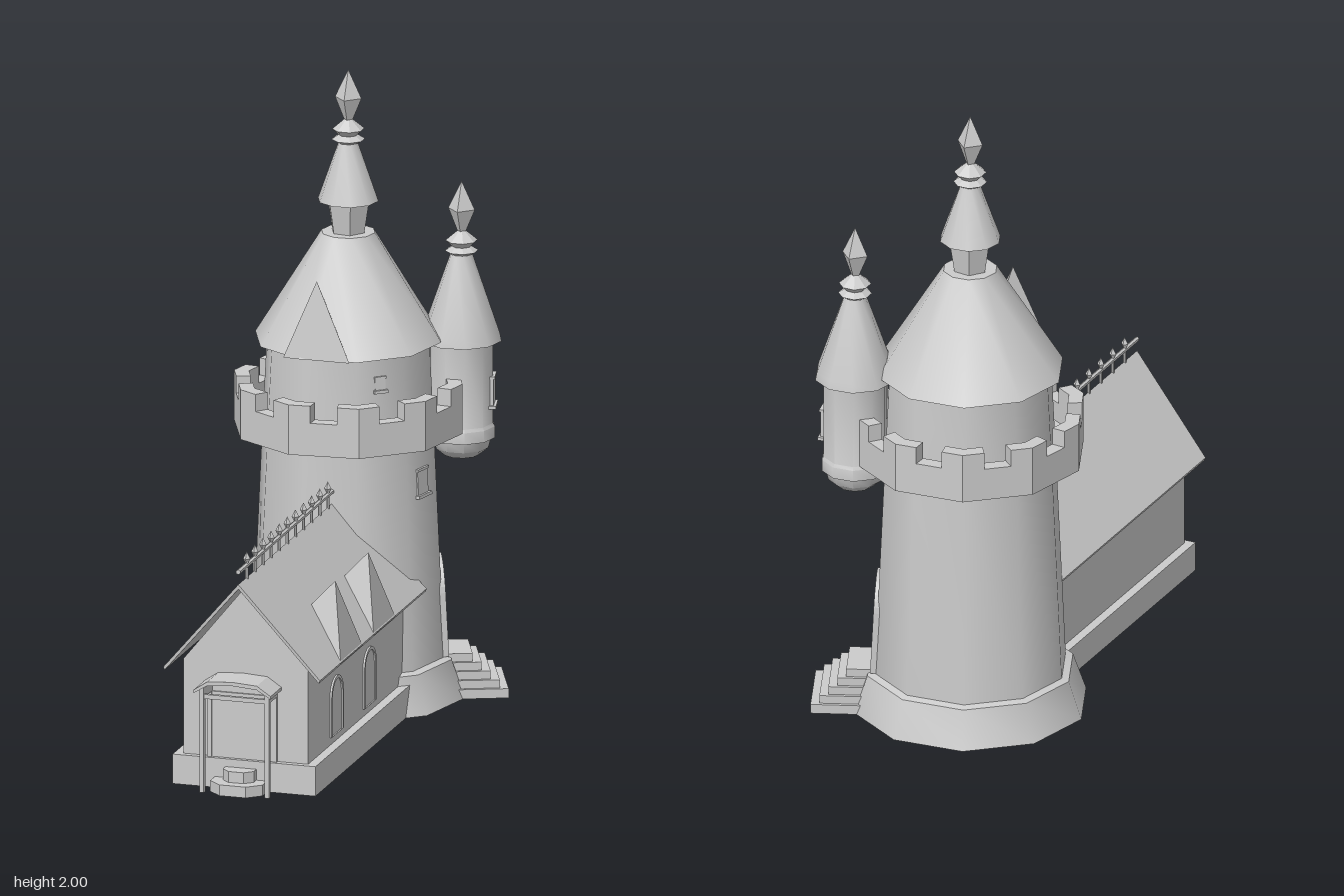
import * as THREE from 'three';
import { toCreasedNormals } from 'three/addons/utils/BufferGeometryUtils.js';

const smooth = new THREE.MeshStandardMaterial({ color: 0xcccccc, side: THREE.DoubleSide });
const flat = new THREE.MeshStandardMaterial({ color: 0xcccccc, side: THREE.DoubleSide, flatShading: true });
const SIDES = 10, START = THREE.MathUtils.degToRad(23);
const TOWER = [-0.063, -0.44], TURRET = [0.251, -0.608], RIDGE_X = -0.032;

function add(parent, name, geometry, x = 0, y = 0, z = 0, material = flat) {
  const mesh = new THREE.Mesh(geometry, material);
  mesh.name = name;
  mesh.position.set(x, y, z);
  parent.add(mesh);
  return mesh;
}

// Box given by its limits on each axis
function block(parent, name, x0, x1, y0, y1, z0, z1) {
  return add(parent, name, new THREE.BoxGeometry(x1 - x0, y1 - y0, z1 - z0),
    (x0 + x1) / 2, (y0 + y1) / 2, (z0 + z1) / 2);
}

// Turned part from [radius, y] pairs, with crisp edges between bands
function turned(parent, name, profile, sides = SIDES, crease = 0.66) {
  const points = profile.map(([r, y]) => new THREE.Vector2(r, y));
  const geometry = toCreasedNormals(new THREE.LatheGeometry(points, sides, START), crease);
  return add(parent, name, geometry, 0, 0, 0, smooth);
}

// Group on a round wall: local +z points outward at the given angle (from +x towards +z)
function onWall(parent, name, degrees, radius, y, lean = 0) {
  const pivot = new THREE.Group();
  pivot.rotation.y = Math.PI / 2 - THREE.MathUtils.degToRad(degrees);
  const spot = new THREE.Group();
  spot.name = name;
  spot.position.set(0, y, radius);
  spot.rotation.x = -lean;
  pivot.add(spot);
  parent.add(pivot);
  return spot;
}

function extrude(shape, depth) {
  return new THREE.ExtrudeGeometry(shape, { depth, bevelEnabled: false, curveSegments: 8 });
}

const polygon = (points) => new THREE.Shape(points.map(([x, y]) => new THREE.Vector2(x, y)));

function archShape(width, height, Type = THREE.Shape) {
  const r = width / 2, shape = new Type();
  shape.moveTo(-r, 0);
  shape.lineTo(r, 0);
  shape.lineTo(r, height - r);
  shape.absarc(0, height - r, r, 0, Math.PI, false);
  shape.lineTo(-r, 0);
  return shape;
}

// Arched frame around a recessed panel
function archOpening(parent, name, width, height, border, depth) {
  const frame = archShape(width, height);
  frame.holes.push(archShape(width - 2 * border, height - border, THREE.Path));
  add(parent, name + 'Frame', extrude(frame, depth), 0, 0, -depth / 2);
  add(parent, name + 'Panel', extrude(archShape(width - border, height - border / 2), depth * 0.6), 0, 0, -depth / 2);
}

function squareWindow(parent, width, height) {
  block(parent, 'windowPane', -width / 2, width / 2, 0, height, -0.03, 0.004);
  block(parent, 'windowSill', -width * 0.65, width * 0.65, -0.01, 0, -0.03, 0.012);
  block(parent, 'windowLintel', -width * 0.55, width * 0.55, height, height + 0.008, -0.03, 0.008);
}

// Four-cornered spike dormer: upright triangle whose ridge runs back into the roof
function dormer(parent, name, left, right, apex, back) {
  const faces = [left, right, apex, right, back, apex, back, left, apex, left, back, right];
  const geometry = new THREE.BufferGeometry();
  geometry.setAttribute('position', new THREE.Float32BufferAttribute(faces.flat(), 3));
  geometry.computeVertexNormals();
  add(parent, name, geometry);
}

// Stacked rings with a four-sided diamond above
function finial(parent, y) {
  turned(parent, 'finialRings', [[0.03, y - 0.04], [0.03, y], [0.052, y + 0.012], [0.03, y + 0.026],
    [0.05, y + 0.045], [0.042, y + 0.052], [0.014, y + 0.075], [0, y + 0.078]], 8, 0.3);
  const diamond = new THREE.LatheGeometry(
    [[0.012, 0], [0.043, 0.075], [0, 0.165]].map(([r, h]) => new THREE.Vector2(r, h)), 4);
  add(parent, 'finialDiamond', diamond, 0, y + 0.07, 0);
}

function corner(k, r) {
  const a = THREE.MathUtils.degToRad(31 + 36 * k);
  return [r * Math.cos(a), -r * Math.sin(a)];
}
const mix = (a, b, t) => [a[0] + (b[0] - a[0]) * t, a[1] + (b[1] - a[1]) * t];

function buildParapet(tower) {
  const parapet = new THREE.Group();
  parapet.name = 'parapet';
  tower.add(parapet);
  const R = 0.362, r = 0.315;
  const loop = (radius) => Array.from({ length: SIDES }, (_, k) => corner(k, radius));
  add(parapet, 'parapetFloor', extrude(polygon(loop(R)), 0.04).rotateX(-Math.PI / 2), 0, 0.85, 0);
  const ring = polygon(loop(R));
  ring.holes.push(polygon(loop(r)));
  add(parapet, 'parapetWall', extrude(ring, 0.065).rotateX(-Math.PI / 2), 0, 0.89, 0);
  // One merlon wraps each corner, leaving a notch in each side
  for (let k = 0; k < SIDES; k++) {
    const arc = (radius) => [mix(corner(k, radius), corner(k - 1, radius), 0.31), corner(k, radius),
      mix(corner(k, radius), corner(k + 1, radius), 0.31)];
    const outline = polygon([...arc(R), ...arc(r).reverse()]);
    add(parapet, 'merlon', extrude(outline, 0.055).rotateX(-Math.PI / 2), 0, 0.955, 0);
  }
}

function buildTower(model) {
  const tower = new THREE.Group();
  tower.name = 'tower';
  tower.position.set(TOWER[0], 0, TOWER[1]);
  model.add(tower);
  turned(tower, 'towerFoot', [[0, 0], [0.37, 0], [0.328, 0.122], [0.3, 0.13]]);
  turned(tower, 'towerShaft', [[0.306, 0.1], [0.272, 0.85], [0.257, 1.15]]);
  buildParapet(tower);
  turned(tower, 'towerRoof', [[0.25, 1.14], [0.295, 1.14], [0.085, 1.48], [0, 1.48]]);
  turned(tower, 'neck', [[0.053, 1.47], [0.072, 1.59]], 6, 0.3);
  turned(tower, 'spire', [[0, 1.582], [0.096, 1.582], [0.028, 1.775]]);
  finial(tower, 1.765);

  // Arched side door with its steps
  archOpening(onWall(tower, 'sideDoor', -23, 0.289, 0.13, 0.05), 'sideDoor', 0.2, 0.305, 0.022, 0.03);
  const stairs = onWall(tower, 'sideStairs', -23, 0, 0);
  for (let i = 0; i < 5; i++)
    block(stairs, 'step', -0.125 + i * 0.011, 0.125 - i * 0.011, 0, 0.03 + i * 0.026, 0.25, 0.487 - i * 0.027);

  squareWindow(onWall(tower, 'lowerWindow', 13, 0.267, 0.675, 0.05), 0.06, 0.075);
  squareWindow(onWall(tower, 'upperWindow', 49, 0.249, 1.035, 0.05), 0.035, 0.035);
  dormer(tower, 'towerDormer', [-0.12, 1.14, 0.285], [0.095, 1.14, 0.285], [-0.022, 1.385, 0.25], [-0.022, 1.29, 0.16]);
}

function buildTurret(model) {
  const turret = new THREE.Group();
  turret.name = 'turret';
  turret.position.set(TURRET[0], 0, TURRET[1]);
  model.add(turret);
  turned(turret, 'turretBody', [[0, 0.742], [0.055, 0.745], [0.085, 0.77], [0.093, 0.8], [0.106, 0.803],
    [0.106, 0.84], [0.1, 0.85], [0.1, 1.12]], SIDES, 0.7);
  turned(turret, 'turretRoof', [[0.09, 1.115], [0.127, 1.115], [0.122, 1.14], [0.035, 1.39]]);
  finial(turret, 1.388);
  squareWindow(onWall(turret, 'turretWindow', -13, 0.098, 0.91), 0.06, 0.085);
}

function buildHall(model) {
  const hall = new THREE.Group();
  hall.name = 'hall';
  model.add(hall);
  block(hall, 'plinth', -0.264, 0.2, 0, 0.095, -0.35, 0.71);
  const wall = polygon([[-0.235, 0.09], [0.17, 0.09], [0.17, 0.4], [RIDGE_X, 0.65], [-0.235, 0.4]]);
  add(hall, 'hallWalls', extrude(wall, 1.04), 0, 0, -0.35);

  // Roof shell whose ridge juts further forward than its eaves
  const roof = extrude(polygon([[-0.283, 0.37], [RIDGE_X, 0.662], [0.218, 0.37], [0.222, 0.38],
    [RIDGE_X, 0.677], [-0.287, 0.38]]), 1);
  const p = roof.attributes.position;
  for (let i = 0; i < p.count; i++) {
    const rise = (p.getY(i) - 0.37) / 0.3;
    p.setZ(i, p.getZ(i) > 0.5 ? 0.732 + 0.036 * rise : -0.35 + 0.1 * rise);
  }
  roof.computeVertexNormals();
  add(hall, 'hallRoof', roof);

  for (const z of [0.41, 0.077]) {
    dormer(hall, 'hallDormer', [0.221, 0.375, z + 0.11], [0.221, 0.375, z - 0.11], [0.172, 0.612, z + 0.012], [0.085, 0.52, z + 0.012]);
    const window = new THREE.Group();
    window.name = 'hallWindow';
    window.position.set(0.17, 0.12, z);
    window.rotation.y = Math.PI / 2;
    hall.add(window);
    archOpening(window, 'hallWindow', 0.122, 0.185, 0.01, 0.012);
  }

  // Ridge rail with spear posts
  const rail = new THREE.CylinderGeometry(0.008, 0.008, 0.945, 6).rotateX(Math.PI / 2);
  add(hall, 'ridgeRail', rail, RIDGE_X, 0.717, 0.297);
  for (let i = 0; i < 11; i++) {
    const z = 0.683 - i * 0.082;
    add(hall, 'railPost', new THREE.CylinderGeometry(0.005, 0.005, 0.08, 6), RIDGE_X, 0.695, z);
    add(hall, 'railSpear', new THREE.OctahedronGeometry(0.012).scale(1, 1.9, 1), RIDGE_X, 0.737, z);
  }
}

function buildPorch(model) {
  const porch = new THREE.Group();
  porch.name = 'porch';
  porch.position.x = -0.042;
  model.add(porch);
  const canopy = polygon([[-0.125, 0.325], [-0.08, 0.352], [0, 0.358], [0.08, 0.352], [0.125, 0.325],
    [0.125, 0.335], [0.08, 0.365], [0, 0.37], [-0.08, 0.365], [-0.125, 0.335]]);
  add(porch, 'canopy', extrude(canopy, 0.115), 0, 0, 0.685);
  for (const side of [-1, 1]) {
    const x = side * 0.106;
    block(porch, 'porchPost', x - 0.007, x + 0.007, 0, 0.34, 0.762, 0.778);
    block(porch, 'sideBeam', x - 0.007, x + 0.007, 0.305, 0.335, 0.685, 0.778);
    block(porch, 'doorJamb', x - 0.007, x + 0.007, 0.09, 0.335, 0.685, 0.7);
  }
  block(porch, 'frontBeam', -0.11, 0.11, 0.302, 0.316, 0.764, 0.776);
  block(porch, 'frontDoor', -0.1, 0.1, 0.07, 0.305, 0.68, 0.696);
  // Low many-sided front steps
  [[0.085, 0.035, 0.095], [0.05, 0.07, 0.06]].forEach(([w, h, d]) => {
    const outline = polygon([[-w, 0], [w, 0], [w, -d * 0.6], [w * 0.5, -d], [-w * 0.5, -d], [-w, -d * 0.6]]);
    add(porch, 'frontStep', extrude(outline, h).rotateX(-Math.PI / 2), 0, 0, 0.7);
  });
}

export function createModel() {
  const model = new THREE.Group();
  model.name = 'castle';
  buildTower(model);
  buildTurret(model);
  buildHall(model);
  buildPorch(model);
  return model;
}
